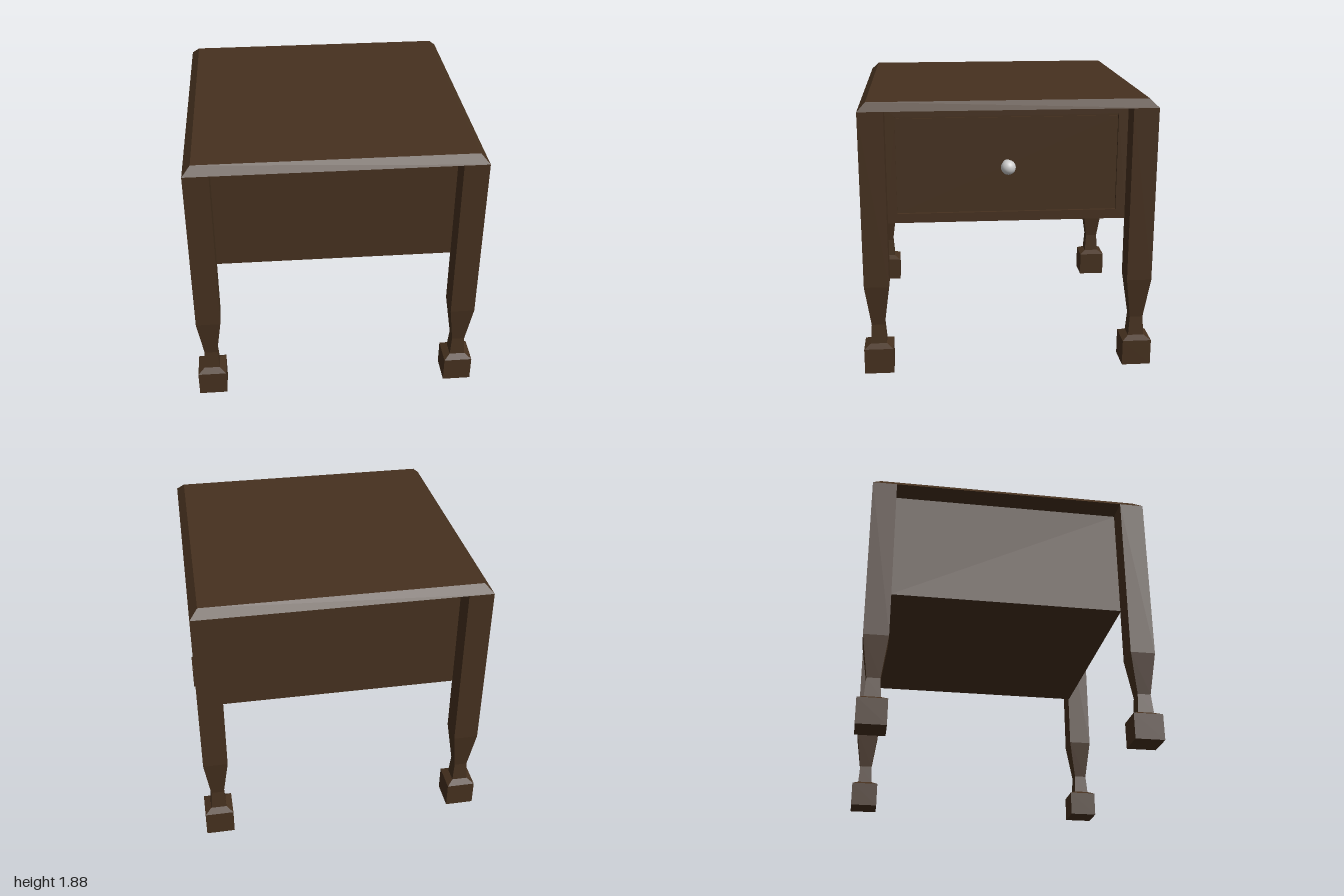
import * as THREE from 'three';

const wood = new THREE.MeshStandardMaterial({ color: 0x46311f, flatShading: true });
const metal = new THREE.MeshStandardMaterial({ color: 0xcccccc });

function add(parent, name, geometry, material, x = 0, y = 0, z = 0) {
  const mesh = new THREE.Mesh(geometry, material);
  mesh.name = name;
  mesh.position.set(x, y, z);
  parent.add(mesh);
  return mesh;
}

// Square solid from [half width, height] pairs, bottom to top
function squareTurned(profile) {
  const points = profile.map(([half, y]) => new THREE.Vector2(half * Math.SQRT2, y));
  return new THREE.LatheGeometry(points, 4, Math.PI / 4);
}

// Rectangle outline centred on the origin
function rectangle(target, w, h) {
  target.moveTo(-w / 2, -h / 2);
  target.lineTo(w / 2, -h / 2);
  target.lineTo(w / 2, h / 2);
  target.lineTo(-w / 2, h / 2);
  target.closePath();
  return target;
}

export function createModel() {
  const table = new THREE.Group();
  table.name = 'sideTable';

  // Table top with chamfered rim
  add(table, 'tableTop', squareTurned([[0, 1.83], [0.985, 1.83], [0.93, 1.885], [0, 1.885]]), wood);

  // Four tapered legs on block feet
  const shaft = squareTurned([[0.055, 0.2], [0.045, 0.34], [0.085, 0.63], [0.085, 1.83]]);
  const foot = squareTurned([[0, 0], [0.1, 0], [0.1, 0.18], [0.055, 0.205], [0, 0.205]]);
  for (const x of [-0.9, 0.9]) {
    for (const z of [-0.9, 0.9]) {
      const leg = new THREE.Group();
      leg.name = (z > 0 ? 'front' : 'back') + (x > 0 ? 'Left' : 'Right') + 'Leg';
      leg.position.set(x, 0, z);
      add(leg, 'shaft', shaft, wood);
      add(leg, 'foot', foot, wood);
      table.add(leg);
    }
  }

  // Cabinet body, open frame around the drawer on the left side
  add(table, 'cabinet', new THREE.BoxGeometry(1.62, 0.8, 1.64), wood, -0.01, 1.43, 0);
  const frameShape = rectangle(new THREE.Shape(), 1.64, 0.8);
  frameShape.holes.push(rectangle(new THREE.Path(), 1.5, 0.67));
  const frame = new THREE.ExtrudeGeometry(frameShape, { depth: 0.02, bevelEnabled: false });
  add(table, 'drawerFrame', frame.rotateY(Math.PI / 2), wood, 0.8, 1.43, 0);

  // Drawer front set slightly into the frame
  add(table, 'drawerFront', new THREE.BoxGeometry(0.01, 0.65, 1.48), wood, 0.805, 1.425, 0);

  // Drawer knob: flared base, stem and ball
  const knob = new THREE.Group();
  knob.name = 'drawerKnob';
  knob.position.set(0.81, 1.425, 0);
  knob.rotation.z = -Math.PI / 2;
  const stem = [[0.035, 0], [0.035, 0.01], [0.018, 0.02], [0.018, 0.05]];
  add(knob, 'stem', new THREE.LatheGeometry(stem.map(([r, y]) => new THREE.Vector2(r, y)), 20), metal);
  add(knob, 'ball', new THREE.SphereGeometry(0.05, 24, 16), metal, 0, 0.08, 0);
  table.add(knob);

  return table;
}
